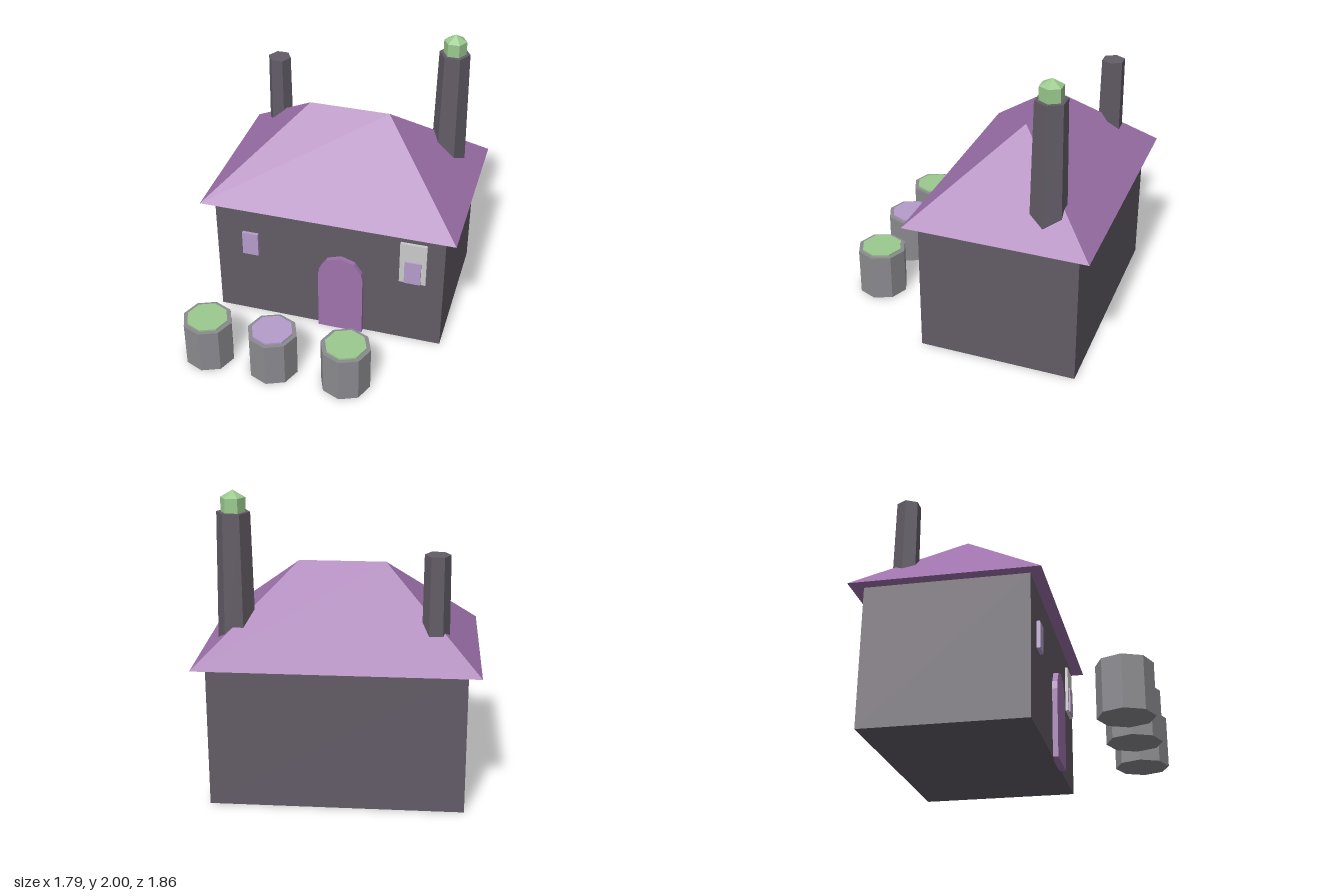
import * as THREE from 'three';

const mat = (name, color) => {
  const m = new THREE.MeshStandardMaterial({ color, flatShading: true });
  m.name = name;
  return m;
};

export function createModel() {
  const stone = mat('dark stone', 0x625c66);
  const purple = mat('roof purple', 0x9e72ac);
  const lavender = mat('lavender', 0xb59dcb);
  const green = mat('leaf green', 0x9bc98e);
  const pale = mat('pale frame', 0xcacaca);
  const grey = mat('barrel grey', 0x8b8b8f);

  const model = new THREE.Group();
  model.name = 'cottage';

  const add = (name, geometry, material, x = 0, y = 0, z = 0, parent = model) => {
    const mesh = new THREE.Mesh(geometry, material);
    mesh.name = name;
    mesh.position.set(x, y, z);
    parent.add(mesh);
    return mesh;
  };
  // Box given by its minimum and maximum corners
  const box = (name, material, [x0, y0, z0], [x1, y1, z1]) =>
    add(name, new THREE.BoxGeometry(x1 - x0, y1 - y0, z1 - z0), material,
      (x0 + x1) / 2, (y0 + y1) / 2, (z0 + z1) / 2);
  // Upright prism from y0 to y1, with a corner pointing along x
  const prism = (name, material, sides, rTop, rBottom, y0, y1, parent) => {
    const g = new THREE.CylinderGeometry(rTop, rBottom, y1 - y0, sides);
    g.rotateY(Math.PI / 2);
    return add(name, g, material, 0, (y0 + y1) / 2, 0, parent);
  };
  const groupAt = (name, x, z) => {
    const g = new THREE.Group();
    g.name = name;
    g.position.set(x, 0, z);
    model.add(g);
    return g;
  };

  // Walls
  box('walls', stone, [-0.813, 0, -0.847], [0.813, 0.94, 0.22]);

  // Hipped roof: four eave corners and two ridge ends
  const corners = [
    [-0.893, 0.937, 0.3], [0.893, 0.937, 0.3], [0.893, 0.937, -0.93], [-0.893, 0.937, -0.93],
    [-0.28, 1.49, -0.315], [0.28, 1.49, -0.315],
  ];
  const faces = [0, 1, 5, 0, 5, 4, 1, 2, 5, 2, 3, 4, 2, 4, 5, 3, 0, 4, 0, 3, 2, 0, 2, 1];
  const roof = new THREE.BufferGeometry();
  roof.setAttribute('position', new THREE.Float32BufferAttribute(faces.flatMap((i) => corners[i]), 3));
  roof.computeVertexNormals();
  add('roof', roof, purple);

  // Arched door
  const arch = [
    [-0.065, 0], [0.255, 0], [0.255, 0.465], [0.245, 0.52], [0.193, 0.597],
    [0.095, 0.63], [-0.005, 0.597], [-0.055, 0.52], [-0.065, 0.465],
  ].map(([x, y]) => new THREE.Vector2(x, y));
  add('door', new THREE.ExtrudeGeometry(new THREE.Shape(arch), { depth: 0.045, bevelEnabled: false }),
    purple, 0, 0, 0.21);

  // Windows
  box('leftWindow', lavender, [-0.62, 0.52, 0.21], [-0.505, 0.7, 0.243]);
  box('windowFrame', pale, [0.507, 0.52, 0.21], [0.692, 0.845, 0.24]);
  box('windowPane', lavender, [0.543, 0.522, 0.21], [0.658, 0.7, 0.25]);

  // Tall chimney with its pointed cap
  const tall = groupAt('tallChimney', 0.65, -0.593);
  prism('tallStack', stone, 6, 0.105, 0.122, 0.96, 1.865, tall);
  prism('capBase', green, 6, 0.078, 0.078, 1.86, 1.955, tall);
  prism('capPoint', green, 6, 0, 0.078, 1.955, 2, tall);

  // Short chimney
  const short = groupAt('shortChimney', -0.608, -0.643);
  prism('shortStack', stone, 6, 0.081, 0.088, 0.96, 1.63, short);

  // Barrels, each with a coloured filling
  [[-0.7, green], [-0.235, lavender], [0.277, green]].forEach(([x, filling]) => {
    const barrel = groupAt('barrel', x, 0.757);
    prism('barrelBody', grey, 8, 0.173, 0.173, 0, 0.33, barrel);
    prism('barrelFilling', filling, 8, 0.143, 0.143, 0.32, 0.342, barrel);
  });

  return model;
}
